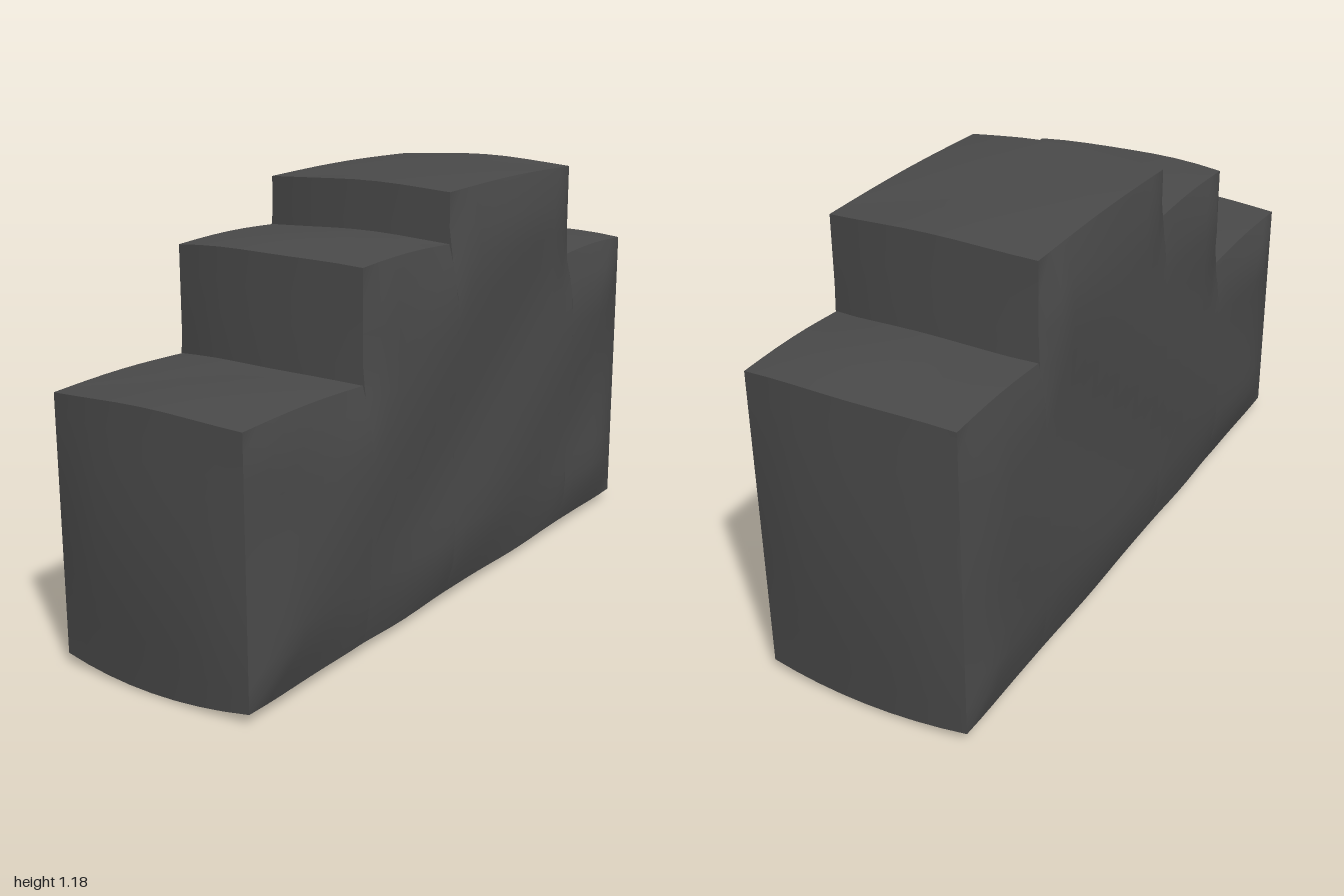
import * as THREE from 'three';

const HALF = 0.297, BASE = 0.035;
// stepped columns from front to back: front z, back z, roof height
const COLUMNS = [
  ['frontLedge', 0.97, 0.495, 0.732],
  ['middleLedge', 0.495, 0.09, 1.03],
  ['summitBlock', 0.09, -0.595, 1.168],
  ['rearLedge', -0.595, -0.965, 0.9],
];

// lowest roof touching this depth, so neighbouring sides meet exactly
function roofAt(z) {
  let r = 9;
  for (const [, z1, z0, top] of COLUMNS) {
    if (z <= z1 + 1e-4 && z >= z0 - 1e-4) r = Math.min(r, top);
  }
  return r;
}

// side swelling: nothing at the outline, uneven in the middle
function sideBulge(x, y, z) {
  const d = Math.min(y - BASE, roofAt(z) - y, 0.97 - z, z + 0.965);
  const t = Math.min(1, Math.max(0, d) / 0.16);
  const wobble = 0.006 * Math.sin(7 * z + 9 * y + (x > 0 ? 0 : 2));
  return Math.sin(t * Math.PI / 2) * (0.027 + wobble);
}

function lumpyColumn(z1, z0, top) {
  const h = top - BASE, len = z1 - z0;
  const g = new THREE.BoxGeometry(2 * HALF, h, len, 8, 12, Math.max(6, Math.round(len * 16)));
  g.translate(0, BASE + h / 2, (z0 + z1) / 2);
  const p = g.attributes.position, near = (a, b) => Math.abs(a - b) < 1e-4;
  for (let i = 0; i < p.count; i++) {
    const x = p.getX(i), y = p.getY(i), z = p.getZ(i);
    const across = 1 - (x / HALF) ** 2;
    const along = Math.sin(Math.PI * (z - z0) / len);
    const up = Math.sin(Math.PI * (y - BASE) / h);
    let nx = x, ny = y, nz = z;
    // sides
    if (near(Math.abs(x), HALF)) nx += Math.sign(x) * sideBulge(x, y, z);
    // roof and underside
    if (near(y, top)) ny += 0.012 * across + 0.007 * along + 0.003 * Math.sin(9 * x + 8 * z) * across;
    if (near(y, BASE)) ny -= across * (0.02 + 0.005 * Math.sin(9 * z)) + 0.006 * (1 - Math.cos(9 * z)) * along * 0.5;
    // front and back faces
    const swell = 0.014 * across + 0.016 * up * (0.4 + 0.6 * across) * (across > 0.01 ? 1 : 0);
    if (near(z, z1)) nz += swell;
    if (near(z, z0)) nz -= swell;
    p.setXYZ(i, nx, ny, nz);
  }
  g.computeVertexNormals();
  return g;
}

export function createModel() {
  const stone = new THREE.MeshStandardMaterial({ color: 0x4a4a4a });
  stone.name = 'darkStone';
  const group = new THREE.Group();
  group.name = 'steppedRock';
  for (const [name, z1, z0, top] of COLUMNS) {
    const mesh = new THREE.Mesh(lumpyColumn(z1, z0, top), stone);
    mesh.name = name;
    group.add(mesh);
  }
  return group;
}
